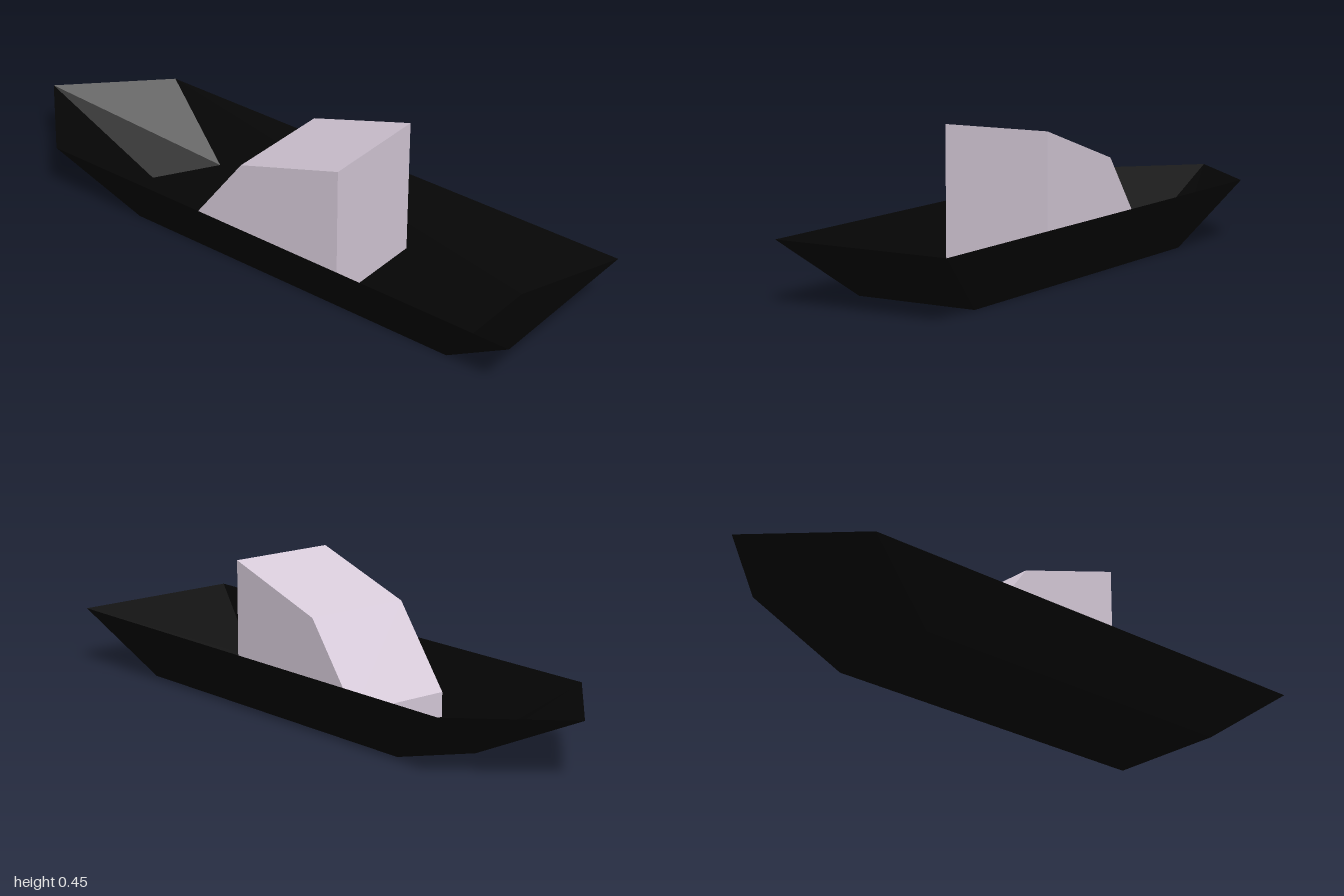
import * as THREE from 'three';

// Flat-shaded open shell: a floor outline joined to a rim outline of equal count
function shell(floor, floorY, rim, rimY) {
  const n = floor.length;
  const points = [
    ...floor.map(([x, z]) => [x, floorY, z]),
    ...rim.map(([x, z]) => [x, rimY, z]),
  ];
  const index = [];
  for (let i = 0; i < n; i++) {
    const j = (i + 1) % n;
    index.push(i, j, n + j, i, n + j, n + i);
    if (i > 0 && i < n - 1) index.push(0, i + 1, i);
  }
  const geometry = new THREE.BufferGeometry();
  geometry.setAttribute('position', new THREE.Float32BufferAttribute(points.flat(), 3));
  geometry.setIndex(index);
  const flat = geometry.toNonIndexed();
  flat.computeVertexNormals();
  return flat;
}

export function createModel() {
  const group = new THREE.Group();

  // Open hull, square at the front end and pointed at the back, as [x, z] outlines
  const floor = [[-0.197, 0.735], [0.197, 0.735], [0.197, -0.45], [0, -0.57], [-0.197, -0.45]];
  const rim = [[-0.285, 1], [0.285, 1], [0.285, -0.715], [0, -1], [-0.285, -0.715]];
  const hull = new THREE.Mesh(
    shell(floor, 0, rim, 0.193),
    new THREE.MeshStandardMaterial({ color: 0x050505, flatShading: true, side: THREE.DoubleSide }),
  );
  hull.name = 'hull';
  group.add(hull);

  // Cabin: side profile drawn as (-z, y), extruded across the width
  const width = 0.356;
  const profile = new THREE.Shape([
    [-0.32, 0.003], [0.235, 0.003], [0.235, 0.082], [0.045, 0.335], [-0.32, 0.452],
  ].map(([u, v]) => new THREE.Vector2(u, v)));
  const cabinGeometry = new THREE.ExtrudeGeometry(profile, { depth: width, bevelEnabled: false });
  cabinGeometry.translate(0, 0, -width / 2);
  cabinGeometry.rotateY(Math.PI / 2);
  const cabin = new THREE.Mesh(
    cabinGeometry,
    new THREE.MeshStandardMaterial({ color: 0xd8ccdb, flatShading: true }),
  );
  cabin.name = 'cabin';
  group.add(cabin);

  return group;
}
